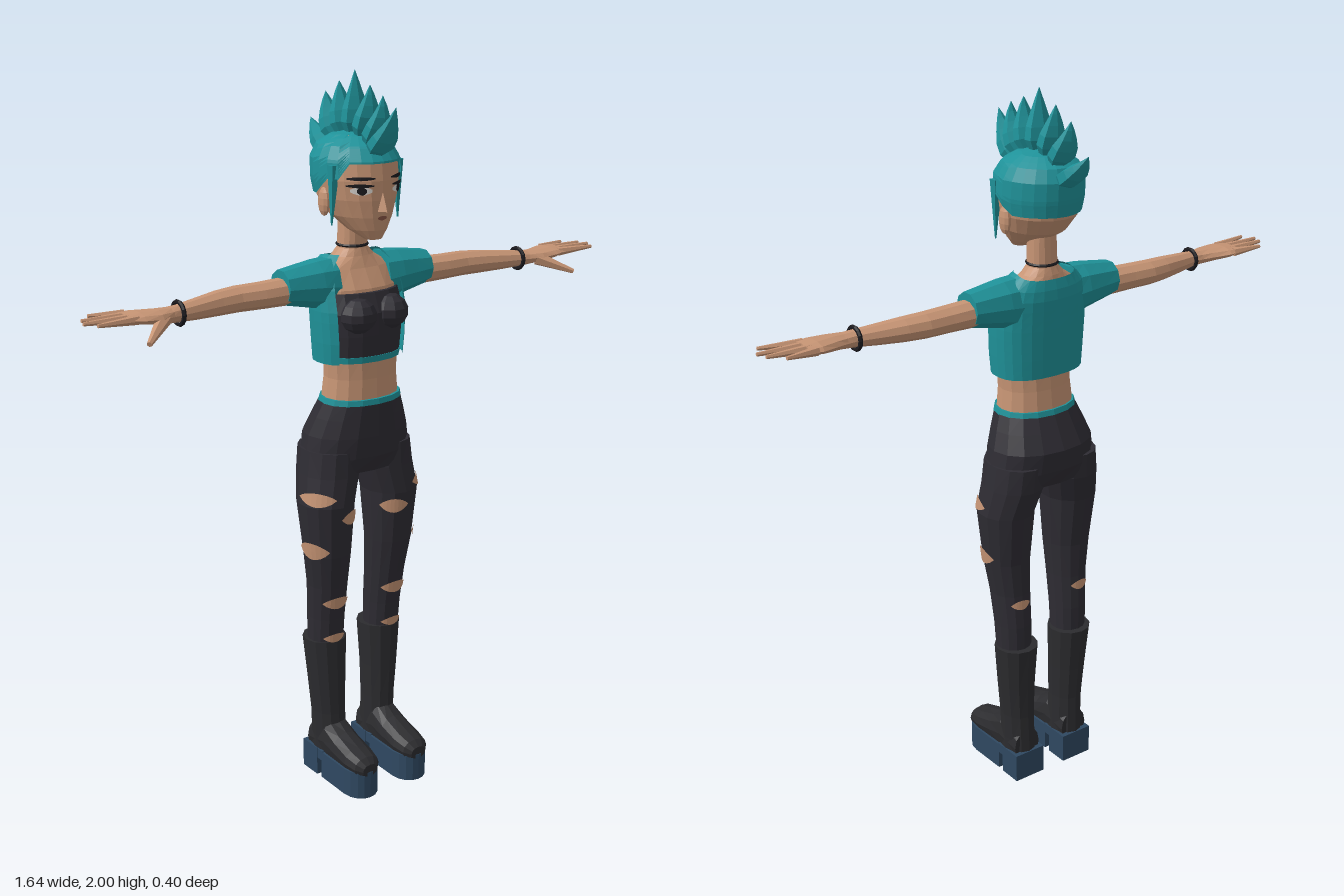
import * as THREE from 'three';

const mat = (name, color, extra = {}) => new THREE.MeshStandardMaterial({ name, color, ...extra });
const bend = (v, e) => Math.sign(v) * Math.abs(v) ** e;

// Flat-shaded surface through rows of points; closed rows are joined and capped
function skin(rows, closed = true) {
  const pos = [];
  const tri = (...ps) => ps.forEach(p => pos.push(p.x, p.y, p.z));
  const n = rows[0].length;
  const cols = closed ? n : n - 1;
  for (let i = 0; i < rows.length - 1; i++) for (let j = 0; j < cols; j++) {
    const k = (j + 1) % n;
    tri(rows[i][j], rows[i][k], rows[i + 1][k]);
    tri(rows[i][j], rows[i + 1][k], rows[i + 1][j]);
  }
  if (closed) [rows[0], rows[rows.length - 1]].forEach((row, end) => {
    const c = row.reduce((s, p) => s.add(p), new THREE.Vector3()).divideScalar(n);
    for (let j = 0; j < n; j++) {
      const k = (j + 1) % n;
      end ? tri(c, row[j], row[k]) : tri(c, row[k], row[j]);
    }
  });
  const g = new THREE.BufferGeometry();
  g.setAttribute('position', new THREE.Float32BufferAttribute(pos, 3));
  g.computeVertexNormals();
  return g;
}

// Rings are [y, centre x, centre z, radius x, radius z]; angle 0 faces +z, rising towards +x
function ringPoint(r, a, e = 1, off = 0) {
  return new THREE.Vector3(r[1] + (r[3] + off) * bend(Math.sin(a), e), r[0], r[2] + (r[4] + off) * bend(Math.cos(a), e));
}
function loft(rings, n = 12, e = 1) {
  const sorted = [...rings].sort((a, b) => a[0] - b[0]);
  return skin(sorted.map(r => Array.from({ length: n }, (_, j) => ringPoint(r, j / n * Math.PI * 2, e))));
}
function surface(rings, y, a, off, e) {
  const s = [...rings].sort((p, q) => p[0] - q[0]);
  let i = 0;
  while (i < s.length - 2 && y > s[i + 1][0]) i++;
  const t = THREE.MathUtils.clamp((y - s[i][0]) / (s[i + 1][0] - s[i][0]), 0, 1);
  const r = s[i].map((v, k) => v + (s[i + 1][k] - v) * t);
  return ringPoint(r, a, e, off);
}
// Thin plate that follows a loft between two angles and two height rules
function sheet(rings, a0, a1, n, m, lo, hi, off = 0.004, e = 1) {
  return skin(Array.from({ length: m + 1 }, (_, i) => Array.from({ length: n + 1 }, (_, j) => {
    const s = j / n, a = a0 + (a1 - a0) * s, y = lo(s, a) + (hi(s, a) - lo(s, a)) * i / m;
    return surface(rings, y, a, off, e);
  })), false);
}
const flat = g => { const f = g.index ? g.toNonIndexed() : g; f.computeVertexNormals(); return f; };
function limb(p, q, r0, r1, sides = 6) {
  const a = new THREE.Vector3(...p), b = new THREE.Vector3(...q), d = b.clone().sub(a);
  const g = new THREE.CylinderGeometry(r1, r0, d.length(), sides);
  g.applyQuaternion(new THREE.Quaternion().setFromUnitVectors(new THREE.Vector3(0, 1, 0), d.normalize()));
  g.translate(...a.add(b).multiplyScalar(0.5).toArray());
  return flat(g);
}
function ball(x, y, z, sx, sy, sz) {
  return flat(new THREE.SphereGeometry(1, 10, 7).scale(sx, sy, sz).translate(x, y, z));
}
function mirror(g) {
  const m = g.clone(), p = m.attributes.position;
  for (let i = 0; i < p.count; i += 3) [0, 2, 1].forEach((k, j) =>
    p.setXYZ(i + j, -g.attributes.position.getX(i + k), g.attributes.position.getY(i + k), g.attributes.position.getZ(i + k)));
  m.computeVertexNormals();
  return m;
}
// Leaf-shaped hair spike, curved in the plane x = 0
function spike(bz, by, tz, ty) {
  const out = new THREE.Vector3(0, by - 1.72, bz).normalize().multiplyScalar(0.085);
  const base = new THREE.Vector3(0, by, bz);
  const curve = new THREE.QuadraticBezierCurve3(base, base.clone().add(out), new THREE.Vector3(0, ty, tz));
  const widths = [0.6, 1, 0.9, 0.62, 0.32, 0.01];
  return skin(widths.map((w, i) => {
    const t = i / (widths.length - 1), c = curve.getPoint(t), T = curve.getTangent(t);
    return Array.from({ length: 6 }, (_, j) => {
      const a = j / 6 * Math.PI * 2, d = 0.026 * w * Math.cos(a);
      return new THREE.Vector3(0.042 * w * Math.sin(a), c.y - T.z * d, c.z + T.y * d);
    });
  }));
}

export function createModel() {
  const model = new THREE.Group();
  const SKIN = mat('skin', 0xc69474), TEAL = mat('teal', 0x1f9299, { side: THREE.DoubleSide });
  const BLACK = mat('charcoal cloth', 0x2e2c33), BOOT = mat('boot leather', 0x2c2c2f);
  const SOLE = mat('blue sole', 0x2f4861), DARK = mat('dark detail', 0x1b1a1e);
  const WHITE = mat('eye white', 0xd8d4cf), LIP = mat('lips', 0x8a5546);
  const add = (name, g, m) => {
    const mesh = new THREE.Mesh(g, m);
    mesh.name = name;
    model.add(mesh);
  };
  const pair = (name, g, m) => { add(name + 'Left', g, m); add(name + 'Right', mirror(g), m); };

  // Torso and neck
  add('torso', loft([[1.12, 0, 0.025, 0.113, 0.083], [1.2, 0, 0.028, 0.105, 0.077], [1.26, 0, 0.03, 0.108, 0.075],
    [1.36, 0, 0.02, 0.115, 0.075], [1.44, 0, 0.01, 0.118, 0.07], [1.49, 0, -0.005, 0.11, 0.055],
    [1.52, 0, -0.008, 0.06, 0.045], [1.54, 0, -0.008, 0.041, 0.038], [1.64, 0, -0.006, 0.038, 0.037]], 16, 0.9), SKIN);
  add('choker', flat(new THREE.TorusGeometry(0.041, 0.004, 5, 16).rotateX(Math.PI / 2).translate(0, 1.547, -0.008)), DARK);

  // Crop top with its hem
  add('cropTop', loft([[1.262, 0, 0.03, 0.113, 0.08], [1.32, 0, 0.033, 0.116, 0.082], [1.38, 0, 0.03, 0.12, 0.085],
    [1.432, 0, 0.02, 0.114, 0.073]], 16, 0.88), BLACK);
  pair('bust', ball(0.052, 1.375, 0.09, 0.052, 0.048, 0.05), BLACK);
  add('cropTopHem', loft([[1.247, 0, 0.03, 0.113, 0.08], [1.264, 0, 0.03, 0.115, 0.082]], 16, 0.88), TEAL);

  // Open jacket and sleeves
  const jacket = [[1.245, 0, 0.018, 0.13, 0.087], [1.3, 0, 0.019, 0.134, 0.091], [1.38, 0, 0.016, 0.138, 0.091],
    [1.46, 0, 0.004, 0.135, 0.081], [1.5, 0, -0.006, 0.12, 0.066], [1.53, 0, -0.01, 0.08, 0.05]];
  add('jacket', sheet(jacket, 0.86, Math.PI * 2 - 0.86, 18, 10, () => 1.245,
    (s, a) => 1.528 - 0.014 * Math.max(0, -Math.cos(a)), 0, 0.82), TEAL);
  const along = rings => loft(rings.map(([x, y, z, ry, rz]) => [x, -y, z, ry, rz]), 10).rotateZ(-Math.PI / 2);
  pair('sleeve', along([[0.08, 1.45, 0, 0.074, 0.06], [0.13, 1.455, 0, 0.066, 0.06],
    [0.18, 1.457, 0, 0.057, 0.054], [0.235, 1.459, 0, 0.047, 0.048]]), TEAL);

  // Arms, hands and bracelets
  pair('arm', along([[0.2, 1.448, 0, 0.038, 0.043], [0.3, 1.447, 0, 0.035, 0.042], [0.37, 1.447, -0.003, 0.034, 0.04],
    [0.43, 1.446, 0.004, 0.032, 0.037], [0.5, 1.444, 0.017, 0.027, 0.031], [0.56, 1.443, 0.028, 0.022, 0.026],
    [0.59, 1.443, 0.03, 0.02, 0.03]]), SKIN);
  pair('palm', along([[0.58, 1.443, 0.03, 0.02, 0.028], [0.62, 1.445, 0.032, 0.019, 0.041],
    [0.67, 1.449, 0.024, 0.016, 0.051], [0.705, 1.452, 0.021, 0.01, 0.048]]), SKIN);
  [[-0.016, 0.775, -0.03], [0.008, 0.81, 0.007], [0.033, 0.82, 0.037], [0.056, 0.8, 0.073]].forEach(([z, tx, tz], i) =>
    pair('finger' + (i + 1), limb([0.685, 1.451, z], [tx, 1.456, tz], 0.0125, 0.005), SKIN));
  pair('thumb', limb([0.61, 1.44, 0.05], [0.69, 1.404, 0.12], 0.02, 0.007), SKIN);
  pair('bracelet', flat(new THREE.TorusGeometry(0.029, 0.006, 6, 14).rotateY(Math.PI / 2).translate(0.555, 1.443, 0.027)), DARK);

  // Head, ears and face
  const head = [[1.575, 0, 0.085, 0.024, 0.022], [1.6, 0, 0.055, 0.052, 0.062], [1.635, 0, 0.028, 0.08, 0.095],
    [1.68, 0, 0.012, 0.1, 0.115], [1.73, 0, 0.008, 0.109, 0.12], [1.78, 0, 0.004, 0.107, 0.118],
    [1.815, 0, 0, 0.088, 0.098], [1.838, 0, 0, 0.05, 0.057], [1.848, 0, 0, 0.002, 0.002]];
  add('head', loft(head, 20), SKIN);
  pair('ear', ball(0.104, 1.672, 0.012, 0.013, 0.038, 0.022), SKIN);
  add('nose', flat(new THREE.ConeGeometry(0.016, 0.05, 4).scale(1, 1, 1.2).translate(0, 1.677, 0.127)), SKIN);
  const mark = (name, a0, a1, y, h, m, off) =>
    sheet(head, a0, a1, 6, 1, s => y - h * Math.sin(Math.PI * (0.1 + 0.8 * s)), s => y + h * Math.sin(Math.PI * (0.1 + 0.8 * s)), off);
  pair('eye', mark('eye', 0.3, 0.82, 1.707, 0.011), WHITE);
  pair('iris', mark('iris', 0.44, 0.66, 1.707, 0.011, null, 0.006), DARK);
  pair('eyelash', mark('eyelash', 0.26, 0.9, 1.72, 0.005, null, 0.006), DARK);
  pair('eyebrow', mark('eyebrow', 0.22, 0.88, 1.738, 0.005), DARK);
  add('mouth', mark('mouth', -0.17, 0.17, 1.634, 0.006), LIP);

  // Hair cap, side strands and mohawk
  const hairline = (s, a) => {
    const c = Math.cos(a);
    return c > 0.55 ? 1.775 : c > 0.2 ? 1.735 : c > -0.2 ? 1.71 : 1.69;
  };
  add('hairCap', sheet(head, 0, Math.PI * 2, 24, 14, hairline, () => 1.848, 0.008), TEAL);
  pair('sideStrand', limb([0.102, 1.77, 0.052], [0.107, 1.615, 0.05], 0.017, 0.002, 4), TEAL);
  [[0.09, 1.795, 0.18, 1.92], [0.075, 1.815, 0.125, 1.945], [0.042, 1.83, 0.07, 1.967], [0.004, 1.835, 0.004, 2],
    [-0.035, 1.83, -0.065, 1.967], [-0.07, 1.815, -0.127, 1.935], [-0.095, 1.775, -0.198, 1.86]].forEach((s, i) =>
    add('mohawkSpike' + (i + 1), spike(...s), TEAL));

  // Trousers
  add('hips', loft([[1.14, 0, 0.027, 0.116, 0.087], [1.09, 0, 0.015, 0.136, 0.1], [1.04, 0, 0.003, 0.154, 0.113],
    [0.98, 0, 0.003, 0.164, 0.106], [0.935, 0, 0.003, 0.168, 0.09]], 16, 0.92), BLACK);
  add('waistband', loft([[1.13, 0, 0.026, 0.12, 0.091], [1.145, 0, 0.027, 0.117, 0.088]], 16, 0.92), TEAL);
  const leg = [[1.0, 0.088, 0.0, 0.076, 0.097], [0.93, 0.091, 0.003, 0.083, 0.095], [0.85, 0.108, 0.016, 0.078, 0.086],
    [0.7, 0.105, 0.018, 0.066, 0.068], [0.6, 0.1, 0.01, 0.056, 0.06], [0.5, 0.098, 0, 0.052, 0.055], [0.4, 0.097, -0.005, 0.05, 0.05]];
  pair('trouserLeg', loft(leg, 14), BLACK);
  // Rips: start angle, end angle, height, half opening
  [[0.3, 1.65, 0.875, 0.02], [-1.0, 0.08, 0.815, 0.022], [0.5, 2.0, 0.72, 0.026], [-0.8, 0.85, 0.556, 0.019],
    [-0.65, 0.75, 0.444, 0.014], [2.5, 3.6, 0.575, 0.015]].forEach(([a0, a1, y, h], i) => {
    const jag = s => h * Math.sin(Math.PI * s) ** 0.8;
    pair('rip' + (i + 1), sheet(leg, a0, a1, 8, 2, s => y - jag(s), s => y + jag(s) * 0.9), SKIN);
  });

  // Platform boots
  pair('bootShaft', loft([[0.43, 0.095, -0.012, 0.062, 0.063], [0.3, 0.092, -0.007, 0.053, 0.057],
    [0.2, 0.088, -0.005, 0.047, 0.054], [0.12, 0.086, -0.005, 0.046, 0.056], [0.07, 0.086, -0.005, 0.047, 0.058]], 12), BOOT);
  pair('bootFoot', loft([[-0.05, 0.086, -0.1, 0.043, 0.05], [0.03, 0.086, -0.115, 0.046, 0.07], [0.08, 0.086, -0.105, 0.048, 0.048],
    [0.14, 0.086, -0.095, 0.049, 0.036], [0.18, 0.086, -0.09, 0.042, 0.029], [0.198, 0.086, -0.085, 0.025, 0.018]], 12, 0.9)
    .rotateX(Math.PI / 2), BOOT);
  const toe = new THREE.Shape();
  toe.moveTo(0.038, 0.025);
  toe.lineTo(0.134, 0.025);
  toe.lineTo(0.136, 0.14);
  toe.bezierCurveTo(0.136, 0.22, 0.036, 0.22, 0.036, 0.14);
  pair('frontSole', flat(new THREE.ExtrudeGeometry(toe, { depth: 0.08, bevelEnabled: false, curveSegments: 8 })
    .rotateX(Math.PI / 2).translate(0, 0.08, 0)), SOLE);
  pair('heel', flat(new THREE.BoxGeometry(0.098, 0.085, 0.07).translate(0.086, 0.0425, -0.03)), SOLE);
  pair('soleBridge', flat(new THREE.BoxGeometry(0.096, 0.03, 0.03).translate(0.086, 0.068, 0.015)), SOLE);
  return model;
}
